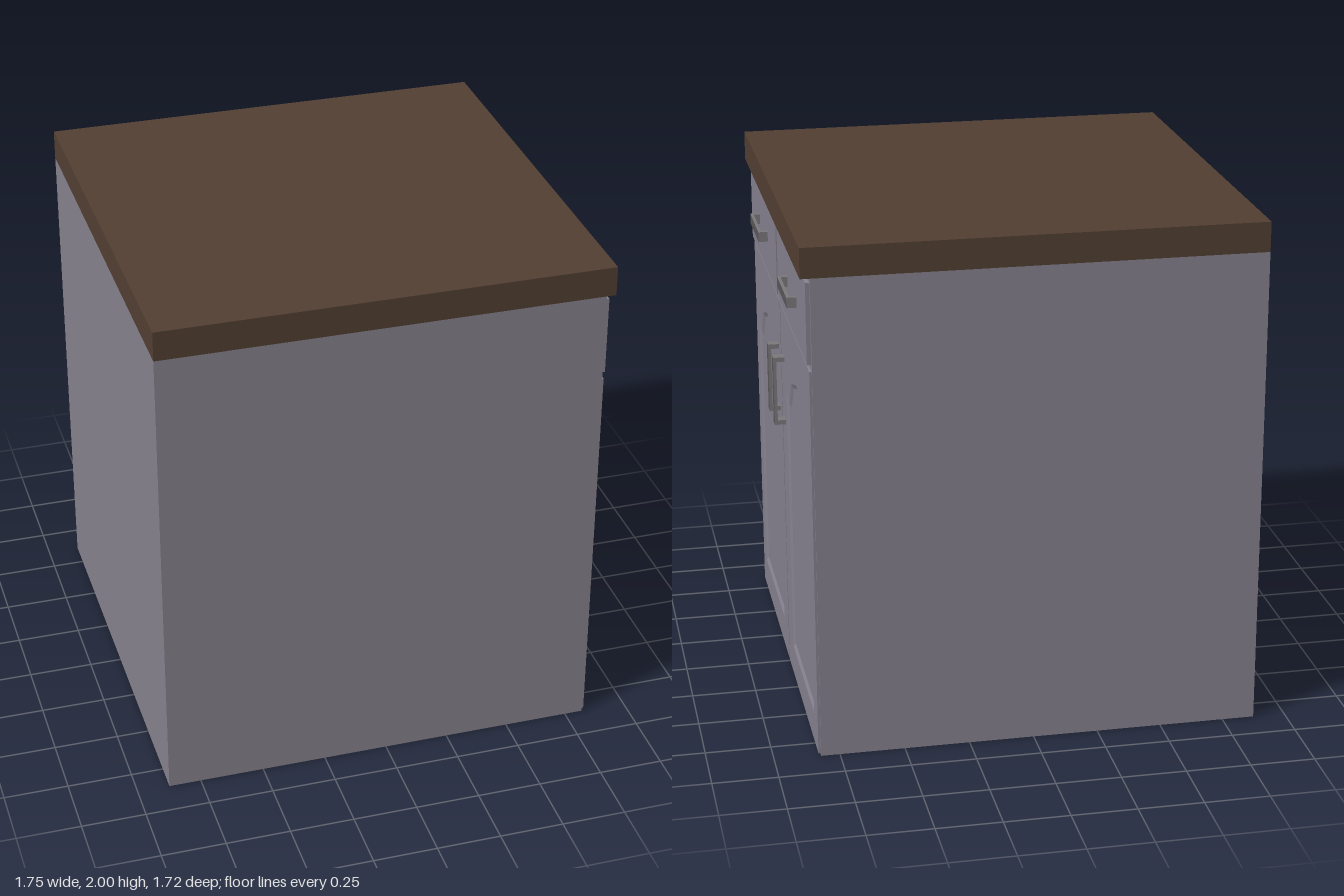
import * as THREE from 'three';

const paint = new THREE.MeshStandardMaterial({ color: 0x87828f });
paint.name = 'grey paint';
const wood = new THREE.MeshStandardMaterial({ color: 0x523f32 });
wood.name = 'brown worktop';
const darkMetal = new THREE.MeshStandardMaterial({ color: 0x5b5759 });
darkMetal.name = 'dark metal';
const metal = new THREE.MeshStandardMaterial({ color: 0x7c797c });
metal.name = 'metal';

const BODY_X = 0.822, DOOR_X = 0.831, DRAWER_X = 0.838, HANDLE_X = 0.875;

// Box given by its lower and upper limits on each axis
function box(name, material, [x0, x1], [y0, y1], [z0, z1]) {
  const geometry = new THREE.BoxGeometry(x1 - x0, y1 - y0, Math.abs(z1 - z0));
  const mesh = new THREE.Mesh(geometry, material);
  mesh.position.set((x0 + x1) / 2, (y0 + y1) / 2, (z0 + z1) / 2);
  mesh.name = name;
  return mesh;
}

// Arched panel outline as [z, y]: outer lip and inner edge of the moulding
const outerArch = [[0.755, 0.13], [0.755, 1.205], [0.67, 1.2], [0.6, 1.3], [0.456, 1.345],
  [0.305, 1.3], [0.232, 1.197], [0.14, 1.205], [0.14, 0.13]];
const innerArch = [[0.737, 0.148], [0.737, 1.185], [0.66, 1.182], [0.59, 1.285], [0.456, 1.326],
  [0.314, 1.285], [0.24, 1.179], [0.158, 1.186], [0.158, 0.148]];

// Points in the door plane, seen from +x and running counter-clockwise
function outline(points, side) {
  const list = points.map(([z, y]) => new THREE.Vector2(-z * side, y));
  return THREE.ShapeUtils.isClockWise(list) ? list.reverse() : list;
}

// Door with a recessed arched panel and a sloped moulding around it
function makeDoor(side) {
  const door = new THREE.Group();
  door.name = side > 0 ? 'leftDoor' : 'rightDoor';
  const outer = outline(outerArch, side), inner = outline(innerArch, side);
  const panelX = BODY_X + 0.001;

  const shape = new THREE.Shape(outline([[0.007, 0.008], [0.853, 0.008], [0.853, 1.533], [0.007, 1.533]], side));
  shape.holes.push(new THREE.Path(outer));
  const frame = new THREE.Mesh(
    new THREE.ExtrudeGeometry(shape, { depth: DOOR_X - BODY_X, bevelEnabled: false })
      .rotateY(Math.PI / 2).translate(BODY_X, 0, 0), paint);
  frame.name = 'doorFrame';

  const panel = new THREE.Mesh(
    new THREE.ShapeGeometry(new THREE.Shape(inner)).rotateY(Math.PI / 2).translate(panelX, 0, 0), paint);
  panel.name = 'doorPanel';

  const positions = [];
  outer.forEach((a, i) => {
    const j = (i + 1) % outer.length;
    const o0 = [DOOR_X, a.y, -a.x], o1 = [DOOR_X, outer[j].y, -outer[j].x];
    const n0 = [panelX, inner[i].y, -inner[i].x], n1 = [panelX, inner[j].y, -inner[j].x];
    positions.push(...o0, ...o1, ...n1, ...o0, ...n1, ...n0);
  });
  const slope = new THREE.BufferGeometry();
  slope.setAttribute('position', new THREE.Float32BufferAttribute(positions, 3));
  slope.computeVertexNormals();
  const moulding = new THREE.Mesh(slope, paint);
  moulding.name = 'panelMoulding';

  door.add(frame, panel, moulding);
  return door;
}

// Square bar handle on two posts, lying along z or standing along y
function makeHandle(name, baseX, y, z, vertical) {
  const handle = new THREE.Group();
  handle.name = name;
  const half = 0.138, width = 0.02, post = 0.018, barX = HANDLE_X - 0.012;
  const faces = [darkMetal, metal, metal, metal, metal, metal];
  const piece = (part, x, from, to) => {
    const along = [from, to], across = [-width, width];
    handle.add(box(part, faces, x, vertical ? along : across, vertical ? across : along));
  };
  piece('handleBar', [barX, HANDLE_X], -half, half);
  piece('handlePost', [baseX, barX], -half, -half + post);
  piece('handlePost', [baseX, barX], half - post, half);
  handle.position.set(0, y, z);
  return handle;
}

export function createModel() {
  const cabinet = new THREE.Group();
  cabinet.name = 'cabinet';
  cabinet.add(box('carcass', paint, [-0.875, BODY_X], [0, 1.885], [-0.86, 0.86]));
  cabinet.add(box('worktop', wood, [-0.875, 0.858], [1.885, 2], [-0.86, 0.86]));

  // Matching door and drawer on each side of the middle
  for (const side of [1, -1]) {
    const label = side > 0 ? 'left' : 'right';
    cabinet.add(makeDoor(side));
    cabinet.add(box(label + 'Drawer', paint, [BODY_X, DRAWER_X], [1.557, 1.865], [0.018 * side, 0.845 * side]));
    cabinet.add(makeHandle(label + 'DoorHandle', DOOR_X, 1.201, 0.082 * side, true));
    cabinet.add(makeHandle(label + 'DrawerHandle', DRAWER_X, 1.713, side > 0 ? 0.426 : -0.449, false));
  }
  return cabinet;
}
